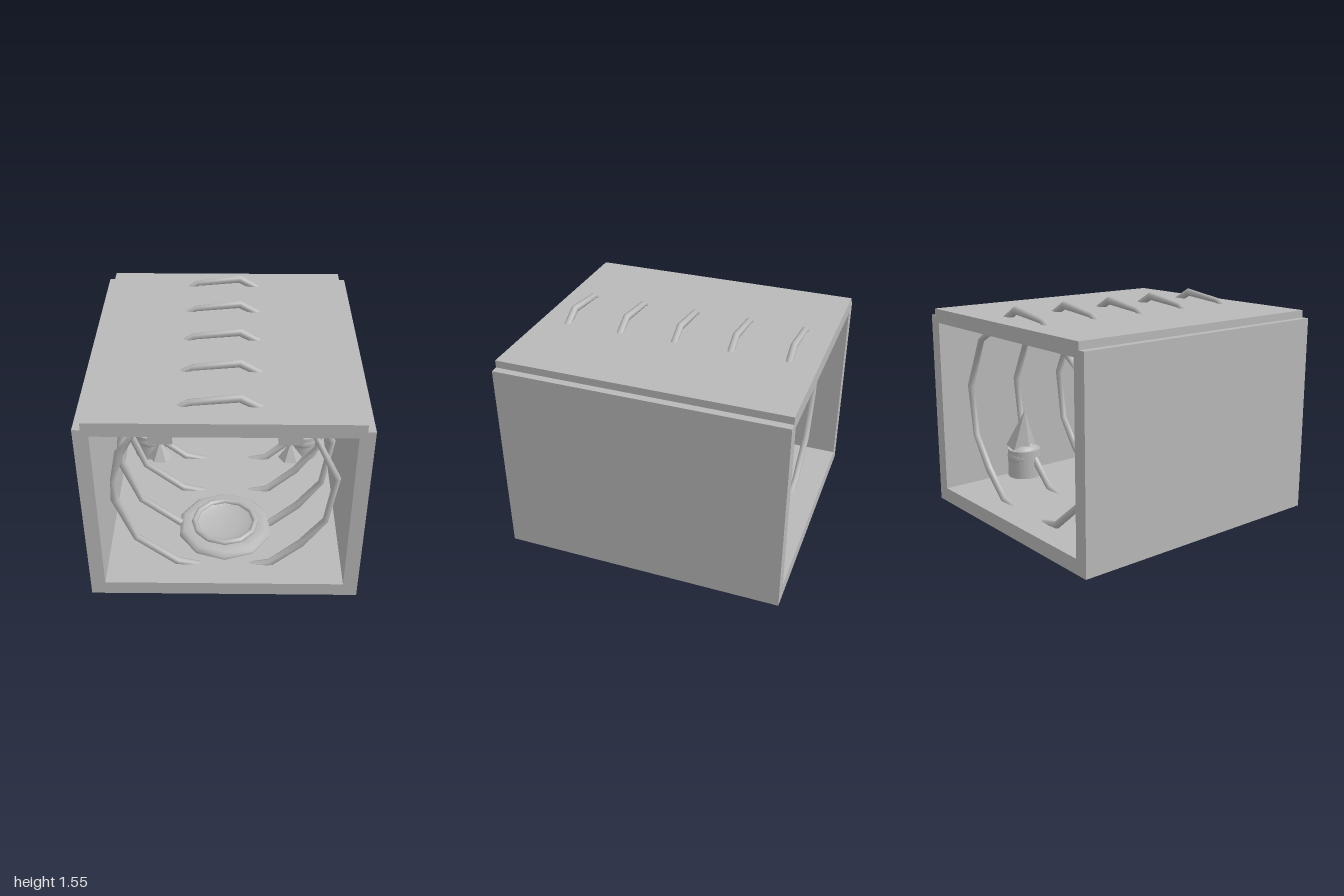
import * as THREE from 'three';

const stone = new THREE.MeshStandardMaterial({ color: 0xb8b8b8 });
stone.name = 'grey stone';

function add(parent, name, geometry, x = 0, y = 0, z = 0) {
  const mesh = new THREE.Mesh(geometry, stone);
  mesh.name = name;
  mesh.position.set(x, y, z);
  parent.add(mesh);
  return mesh;
}

// Cone with hard facets
function facetedCone(radius, height, sides) {
  const g = new THREE.ConeGeometry(radius, height, sides).rotateY(Math.PI / 2).toNonIndexed();
  g.computeVertexNormals();
  return g;
}

// Closed irregular hoop: centre x, centre y, half width at each joint, clockwise from the top
const HOOP = [
  [0.10, 1.525, 0.03], [0.57, 1.26, 0.02], [0.745, 0.89, 0.024], [0.69, 0.52, 0.022],
  [0.53, 0.30, 0.03], [0.32, 0.11, 0.028], [0, 0.05, 0.02], [-0.33, 0.12, 0.028],
  [-0.61, 0.35, 0.025], [-0.735, 0.69, 0.03], [-0.74, 0.86, 0.015], [-0.68, 1.09, 0.032],
  [-0.58, 1.24, 0.012], [-0.43, 1.36, 0.035], [-0.22, 1.49, 0.02],
];

function hoopGeometry() {
  const n = HOOP.length, sides = 8, pos = [], index = [];
  HOOP.forEach(([x, y, w], i) => {
    const [px, py] = HOOP[(i + n - 1) % n], [qx, qy] = HOOP[(i + 1) % n];
    const len = Math.hypot(qx - px, qy - py);
    const nx = -(qy - py) / len, ny = (qx - px) / len; // outward in the hoop plane
    for (let j = 0; j < sides; j++) {
      const a = (j / sides) * Math.PI * 2, r = w * Math.cos(a);
      pos.push(x + nx * r, y + ny * r, 0.025 * Math.sin(a));
      const k = (j + 1) % sides, m = (i + 1) % n;
      const A = i * sides + j, B = i * sides + k, C = m * sides + k, D = m * sides + j;
      index.push(A, B, C, A, C, D);
    }
  });
  const g = new THREE.BufferGeometry();
  g.setAttribute('position', new THREE.Float32BufferAttribute(pos, 3));
  g.setIndex(index);
  g.computeVertexNormals();
  return g;
}

export function createModel() {
  const model = new THREE.Group();
  model.name = 'ribbedHall';

  // Shell: floor, two walls and a narrower raised roof
  add(model, 'floor', new THREE.BoxGeometry(1.84, 0.105, 2), 0, 0.0525, 0);
  add(model, 'roof', new THREE.BoxGeometry(1.74, 0.1, 2), 0, 1.422, 0);
  for (const s of [-1, 1]) {
    add(model, s > 0 ? 'leftWall' : 'rightWall', new THREE.BoxGeometry(0.1, 1.418, 2), s * 0.873, 0.711, 0);
  }

  // Five ribs along the hall
  const hoop = hoopGeometry();
  for (let i = 0; i < 5; i++) add(model, 'rib', hoop, 0, 0, -0.8 + i * 0.4);

  for (const s of [-1, 1]) {
    // Shrine: drum, domed top and leaning faceted spire
    const shrine = new THREE.Group();
    shrine.name = s > 0 ? 'leftShrine' : 'rightShrine';
    shrine.position.set(s * 0.62, 0, -0.43);
    add(shrine, 'drum', new THREE.CylinderGeometry(0.125, 0.125, 0.215, 24), 0, 0.2575, 0);
    add(shrine, 'dome', new THREE.SphereGeometry(0.125, 20, 12).scale(1, 0.8, 1.05), 0, 0.305, 0);
    const spire = add(shrine, 'spire', facetedCone(0.115, 0.3, 6), s * 0.007, 0.522, 0);
    spire.rotation.z = s * 0.21;
    model.add(shrine);

    // Hanging banner with a pointed weight
    const banner = new THREE.Group();
    banner.name = s > 0 ? 'leftBanner' : 'rightBanner';
    banner.position.set(s * 0.474, 0, 0.21);
    add(banner, 'cloth', new THREE.BoxGeometry(0.178, 0.47, 0.02), 0, 0.947, 0);
    add(banner, 'weight', facetedCone(0.087, 0.13, 6), 0, 0.665, 0);
    model.add(banner);
  }

  // Six hanging chains, alternating in depth
  const link = new THREE.TorusGeometry(0.016, 0.005, 6, 16);
  for (let i = 0; i < 6; i++) {
    const chain = new THREE.Group();
    chain.name = 'chain';
    chain.position.set(-0.457 + i * 0.182, 0, i % 2 ? 0.12 : -0.12);
    for (let j = 0; j < 6; j++) add(chain, 'link', link, 0, 1.295 - j * 0.0585, 0);
    model.add(chain);
  }

  // Round dais on the floor: wide base, raised rim and shallow bowl
  const dais = new THREE.Group();
  dais.name = 'dais';
  dais.position.set(0, 0.105, 0.43);
  const lathe = (points, sides) =>
    new THREE.LatheGeometry(points.map(([x, y]) => new THREE.Vector2(x, y)), sides);
  add(dais, 'base', lathe([[0.345, 0], [0.345, 0.025], [0.315, 0.048], [0.25, 0.05], [0.2, 0.035]], 10));
  add(dais, 'rim', new THREE.TorusGeometry(0.225, 0.022, 8, 12).rotateX(Math.PI / 2), 0, 0.057, 0);
  add(dais, 'bowl', lathe([[0.215, 0.06], [0.18, 0.04], [0.1, 0.025], [0, 0.02]], 20));
  model.add(dais);

  return model;
}
